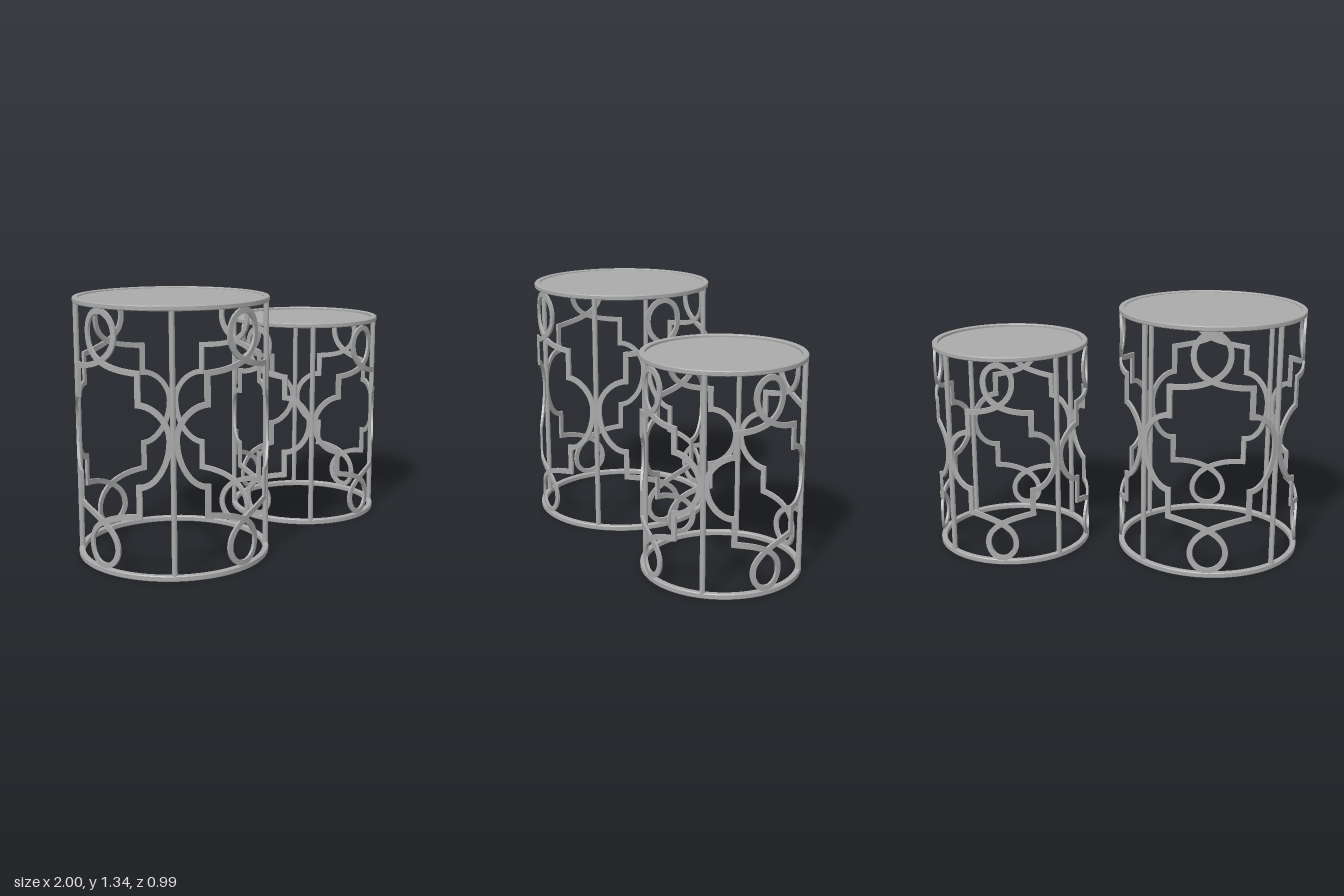
import * as THREE from 'three';
import { toCreasedNormals } from 'three/addons/utils/BufferGeometryUtils.js';

const metal = new THREE.MeshStandardMaterial({ color: 0xaaaaaa });
metal.name = 'brushed grey metal';

function addMesh(parent, name, geometry) {
  const mesh = new THREE.Mesh(geometry, metal);
  mesh.name = name;
  parent.add(mesh);
  return mesh;
}

// Hoop with a softly bevelled square section
function hoop(outer, width, y0, y1) {
  const b = 0.004, inner = outer - width;
  const profile = [
    [inner, y0 + b], [inner + b, y0], [outer - b, y0], [outer, y0 + b],
    [outer, y1 - b], [outer - b, y1], [inner + b, y1], [inner, y1 - b], [inner, y0 + b],
  ].map(([x, y]) => new THREE.Vector2(x, y));
  return toCreasedNormals(new THREE.LatheGeometry(profile, 72), 0.6);
}

// Closed outline of one lattice panel: a loop, stepped shoulders and round sides, then a loop below
function motifPoints(t) {
  const v = (x, y) => new THREE.Vector2(x, y);
  const { loopW: w, stepX: sx, sideX, top, topMid, shoulder, stepTop, mid, stepLow, hip, lowMid, low } = t;
  const half = [];
  const bezier = (a, b, c, d, n) =>
    half.push(...new THREE.CubicBezierCurve(a, b, c, d).getPoints(n).slice(0, -1));
  const k = 0.55;
  bezier(v(0, top), v(-k * w, top), v(-w, topMid + k * (top - topMid)), v(-w, topMid), 10);
  bezier(v(-w, topMid), v(-w, topMid - 0.65 * (topMid - shoulder)), v(0.02, shoulder + 0.012), v(sx, shoulder), 18);
  half.push(v(sx, shoulder));
  const rx = sideX - sx;
  for (let i = 0; i <= 24; i++) {
    const a = Math.PI * (0.5 - i / 24);
    const ry = a > 0 ? stepTop - mid : mid - stepLow;
    half.push(v(sx + rx * Math.cos(a), mid + ry * Math.sin(a)));
  }
  bezier(v(sx, hip), v(0.03, hip - 0.02), v(-w, lowMid + 0.55 * (hip - lowMid)), v(-w, lowMid), 18);
  bezier(v(-w, lowMid), v(-w, lowMid - k * (lowMid - low)), v(-k * w, low), v(0, low), 10);
  half.push(v(0, low));
  const mirrored = half.slice(1, -1).reverse().map((p) => v(-p.x, p.y));
  return [...half, ...mirrored];
}

// Sweep a flat bar along the outline with mitred corners, wrapped around the cylinder
function wrappedBar(points, radius, width, thick) {
  const flat = points.map((p) => new THREE.Vector2(Math.asin(p.x / radius) * radius, p.y));
  const n = flat.length, positions = [], index = [];
  for (let i = 0; i < n; i++) {
    const p = flat[i];
    const d0 = p.clone().sub(flat[(i + n - 1) % n]).normalize();
    const d1 = flat[(i + 1) % n].clone().sub(p).normalize();
    const dir = d0.clone().add(d1).normalize();
    const reach = width / 2 / Math.max(0.6, dir.dot(d1));
    for (const [side, out] of [[-1, -1], [1, -1], [1, 1], [-1, 1]]) {
      const angle = (p.x - dir.y * reach * side) / radius;
      const r = radius + out * thick / 2;
      positions.push(r * Math.sin(angle), p.y + dir.x * reach * side, r * Math.cos(angle));
    }
    for (let j = 0; j < 4; j++) {
      const a = i * 4 + j, b = i * 4 + (j + 1) % 4;
      const c = ((i + 1) % n) * 4 + j, d = ((i + 1) % n) * 4 + (j + 1) % 4;
      index.push(a, b, c, b, d, c);
    }
  }
  const g = new THREE.BufferGeometry();
  g.setAttribute('position', new THREE.Float32BufferAttribute(positions, 3));
  g.setIndex(index);
  return toCreasedNormals(g, 0.6);
}

function createTable(name, t) {
  const table = new THREE.Group();
  table.name = name;

  // Rims and recessed top
  addMesh(table, 'baseRing', hoop(t.outer, 0.03, 0, 0.029));
  addMesh(table, 'topRing', hoop(t.outer, 0.03, t.height - 0.026, t.height));
  const plateRadius = t.outer - 0.02;
  const plate = addMesh(table, 'tableTop', new THREE.CylinderGeometry(plateRadius, plateRadius, 0.008, 72));
  plate.position.y = t.height - t.recess - 0.004;

  // Four posts with a lattice panel between each pair
  const bar = wrappedBar(motifPoints(t), t.barRadius, 0.028, 0.013);
  const postHeight = t.height - 0.03;
  const post = new THREE.CylinderGeometry(0.014, 0.014, postHeight, 16);
  for (let i = 0; i < 4; i++) {
    const turn = i * Math.PI / 2, corner = turn + Math.PI / 4;
    addMesh(table, 'latticePanel', bar).rotation.y = turn;
    addMesh(table, 'post', post).position.set(
      t.postRadius * Math.sin(corner), postHeight / 2 + 0.01, t.postRadius * Math.cos(corner));
  }
  return table;
}

export function createModel() {
  const model = new THREE.Group();
  model.name = 'nestingTables';

  const large = createTable('largeTable', {
    outer: 0.495, barRadius: 0.486, postRadius: 0.48, height: 1.335, recess: 0.008,
    loopW: 0.092, stepX: 0.208, sideX: 0.331,
    top: 1.298, topMid: 1.19, shoulder: 1.015, stepTop: 0.865, mid: 0.7,
    stepLow: 0.465, hip: 0.32, lowMid: 0.135, low: 0.04,
  });
  large.position.x = -0.505;

  const small = createTable('smallTable', {
    outer: 0.418, barRadius: 0.41, postRadius: 0.406, height: 1.14, recess: 0.014,
    loopW: 0.074, stepX: 0.165, sideX: 0.279,
    top: 1.098, topMid: 1.01, shoulder: 0.84, stepTop: 0.725, mid: 0.583,
    stepLow: 0.415, hip: 0.285, lowMid: 0.125, low: 0.038,
  });
  small.position.x = 0.582;

  model.add(large, small);
  return model;
}
